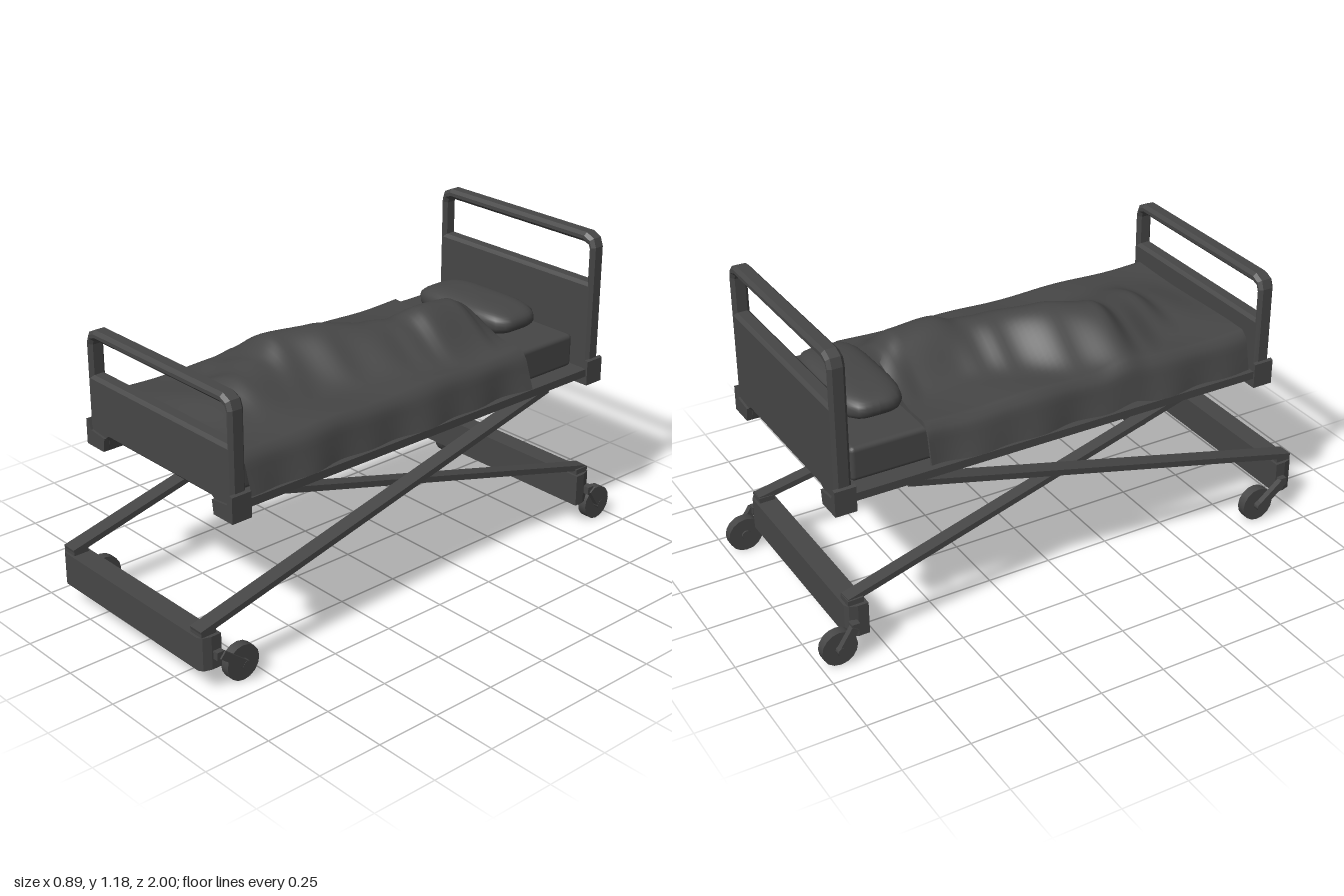
import * as THREE from 'three';
import { toCreasedNormals } from 'three/addons/utils/BufferGeometryUtils.js';
import { RoundedBoxGeometry } from 'three/addons/geometries/RoundedBoxGeometry.js';

const charcoal = new THREE.MeshStandardMaterial({ color: 0x464646 });
charcoal.name = 'charcoal';
const charcoalCloth = new THREE.MeshStandardMaterial({ color: 0x464646, side: THREE.DoubleSide });
charcoalCloth.name = 'charcoalCloth';

export function createModel() {
  const root = new THREE.Group();
  root.name = 'adjustableBed';

  const add = (name, geo, x = 0, y = 0, z = 0, mat = charcoal) => {
    const m = new THREE.Mesh(geo, mat);
    m.name = name;
    m.position.set(x, y, z);
    root.add(m);
    return m;
  };
  const box = (name, w, h, d, x, y, z) => add(name, new THREE.BoxGeometry(w, h, d), x, y, z);
  // rectangular bar running between two points
  const beam = (name, a, b, w, t) => {
    const p = new THREE.Vector3(...a), q = new THREE.Vector3(...b);
    const m = add(name, new THREE.BoxGeometry(w, t, p.distanceTo(q)));
    m.position.copy(p).lerp(q, 0.5);
    m.lookAt(q);
  };
  const poly = (pts) => pts.map(([x, y]) => new THREE.Vector2(x, y));
  // mirrors a right-hand outline to a closed symmetric one
  const symmetric = (pts) => poly([...pts, ...pts.map(([x, y]) => [-x, y]).reverse()]);

  // end boards with a hand-hold opening and bumper feet
  const endBoard = (name, z, top, sill) => {
    const shape = new THREE.Shape(symmetric([
      [0.285, 0.642], [0.305, 0.63], [0.313, 0.59], [0.402, 0.59],
      [0.402, top - 0.05], [0.39, top - 0.017], [0.355, top],
    ]));
    shape.holes.push(new THREE.Path(symmetric([
      [0.373, sill], [0.373, top - 0.06], [0.367, top - 0.045], [0.345, top - 0.037],
    ])));
    const geo = new THREE.ExtrudeGeometry(shape, {
      depth: 0.038, bevelThickness: 0.012, bevelSize: 0.012, bevelOffset: -0.012, bevelSegments: 1,
    });
    geo.translate(0, 0, -0.019);
    add(name, geo, 0, 0, z);
    for (const s of [-1, 1]) {
      const foot = new THREE.Shape(poly([
        [0.313, 0.59], [0.412, 0.59], [0.412, 0.685], [0.4, 0.69], [0.385, 0.65], [0.305, 0.642],
      ].map(([x, y]) => [x * s, y])));
      const g = new THREE.ExtrudeGeometry(foot, { depth: 0.08, bevelEnabled: false });
      g.translate(0, 0, -0.04);
      add(name + 'Bumper', g, 0, 0, z);
    }
  };
  endBoard('footboard', 0.819, 1.03, 0.857);
  endBoard('headboard', -0.878, 1.18, 0.99);

  // deck and mattress
  box('deck', 0.81, 0.03, 1.62, 0, 0.64, -0.03);
  add('mattress', new RoundedBoxGeometry(0.69, 0.13, 1.59, 2, 0.018), 0, 0.72, -0.028);

  // pillow: a sphere squared off in plan
  const pillow = new THREE.SphereGeometry(1, 32, 20);
  const pp = pillow.attributes.position;
  const square = (v, e) => Math.sign(v) * Math.abs(v) ** e;
  for (let i = 0; i < pp.count; i++) {
    const x = pp.getX(i), y = pp.getY(i), z = pp.getZ(i);
    const r = Math.hypot(x, z) || 1;
    const k = r ** 0.6 / Math.max(Math.abs(x / r) ** 4 + Math.abs(z / r) ** 4, 0.3) ** 0.25;
    pp.setXYZ(i, (x / r) * k * 0.24, square(y, 0.85) * 0.056, (z / r) * k * 0.118);
  }
  pillow.computeVertexNormals();
  add('pillow', pillow, -0.004, 0.838, -0.658);

  // blanket: [z, ridge height, ridge centre x, ridge half width]
  const ridge = [
    [0.77, 0.0, 0, 0.3], [0.6, 0.02, 0, 0.28], [0.5, 0.07, -0.01, 0.26], [0.37, 0.085, -0.06, 0.29],
    [0.27, 0.135, -0.1, 0.3], [0.1, 0.145, -0.05, 0.29], [-0.1, 0.13, 0.02, 0.26],
    [-0.2, 0.125, 0.05, 0.25], [-0.29, 0.148, 0.07, 0.25], [-0.45, 0.135, 0.06, 0.26],
    [-0.52, 0.105, 0.03, 0.27], [-0.545, 0.085, 0.02, 0.27],
  ];
  const NU = 56, NZ = 64, verts = [], index = [];
  for (let j = 0; j <= NZ; j++) {
    const z = THREE.MathUtils.lerp(0.77, -0.545, j / NZ);
    let k = 0;
    while (k < ridge.length - 2 && z < ridge[k + 1][0]) k++;
    const f = THREE.MathUtils.smoothstep(ridge[k][0] - z, 0, ridge[k][0] - ridge[k + 1][0]);
    const [, h, c, w] = ridge[k].map((v, i) => THREE.MathUtils.lerp(v, ridge[k + 1][i], f));
    for (let i = 0; i <= NU; i++) {
      const u = (i / NU) * 2 - 1, t = Math.abs(u), s = Math.sign(u);
      const drop = Math.max(0, (t - 0.75) / 0.25);
      const flat = Math.min(t / 0.75, 1) * 0.335;
      const wave = 0.5 + 0.5 * Math.sin(z * 17 + s * 2) * Math.cos(z * 7);
      const round = Math.sin(Math.min(drop * 4, 1) * Math.PI / 2);
      const x = s * (flat + 0.022 * round + drop * (0.025 + 0.03 * wave));
      const d = Math.min(Math.abs(s * flat - c) / w, 1);
      const y = 0.798 + h * (0.5 + 0.5 * Math.cos(Math.PI * d)) - 0.14 * drop
        + 0.004 * Math.sin(z * 13 + x * 9) * (1 - drop);
      verts.push(x, y, z);
      if (i < NU && j < NZ) {
        const a = j * (NU + 1) + i, b = a + NU + 1;
        index.push(a, a + 1, b, b, a + 1, b + 1);
      }
    }
  }
  // hem dropping onto the mattress at the head end
  const last = NZ * (NU + 1), hem = verts.length / 3;
  for (let i = 0; i <= NU; i++) {
    const [x, y, z] = verts.slice((last + i) * 3, (last + i) * 3 + 3);
    verts.push(x * 0.985, Math.min(y, 0.782), z - 0.002);
    if (i < NU) index.push(last + i, last + i + 1, hem + i, hem + i, last + i + 1, hem + i + 1);
  }
  const cloth = new THREE.BufferGeometry();
  cloth.setAttribute('position', new THREE.Float32BufferAttribute(verts, 3));
  cloth.setIndex(index);
  add('blanket', toCreasedNormals(cloth, 0.9), 0, 0, 0, charcoalCloth);

  // base crossbars with chamfered outer corners
  const crossbar = new THREE.ExtrudeGeometry(new THREE.Shape(symmetric([
    [0.385, -0.04], [0.403, -0.03], [0.413, 0.0], [0.413, 0.04],
  ])), { depth: 0.125, bevelEnabled: false });
  crossbar.rotateX(-Math.PI / 2);
  add('frontCrossbar', crossbar, 0, 0.088, 0.96);
  add('rearCrossbar', crossbar, 0, 0.088, -0.855).rotation.y = Math.PI;

  const wheel = new THREE.CylinderGeometry(0.067, 0.067, 0.036, 16).rotateZ(Math.PI / 2);
  const axle = new THREE.CylinderGeometry(0.018, 0.018, 0.066, 10).rotateZ(Math.PI / 2);
  for (const s of [-1, 1]) {
    // crossed lifting legs
    beam('frontLeg', [s * 0.37, 0.225, 0.99], [s * 0.37, 0.625, -0.64], 0.06, 0.022);
    beam('rearLeg', [s * 0.37, 0.225, -0.88], [s * 0.27, 0.622, 0.76], 0.05, 0.022);
    for (const [end, barZ, wheelZ] of [['front', 0.96, 0.836], ['rear', -0.855, -0.932]]) {
      box(end + 'LegFoot', 0.06, 0.022, 0.06, s * 0.37, 0.222, barZ);
      // casters
      add(end + 'Wheel', wheel, s * 0.402, 0.067, wheelZ);
      add(end + 'Axle', axle, s * 0.41, 0.067, wheelZ);
      beam(end + 'Fork', [s * 0.431, 0.145, barZ - 0.025], [s * 0.431, 0.067, wheelZ], 0.022, 0.03);
      box(end + 'ForkPivot', 0.03, 0.03, 0.03, s * 0.42, 0.143, barZ - 0.02);
    }
  }
  return root;
}
